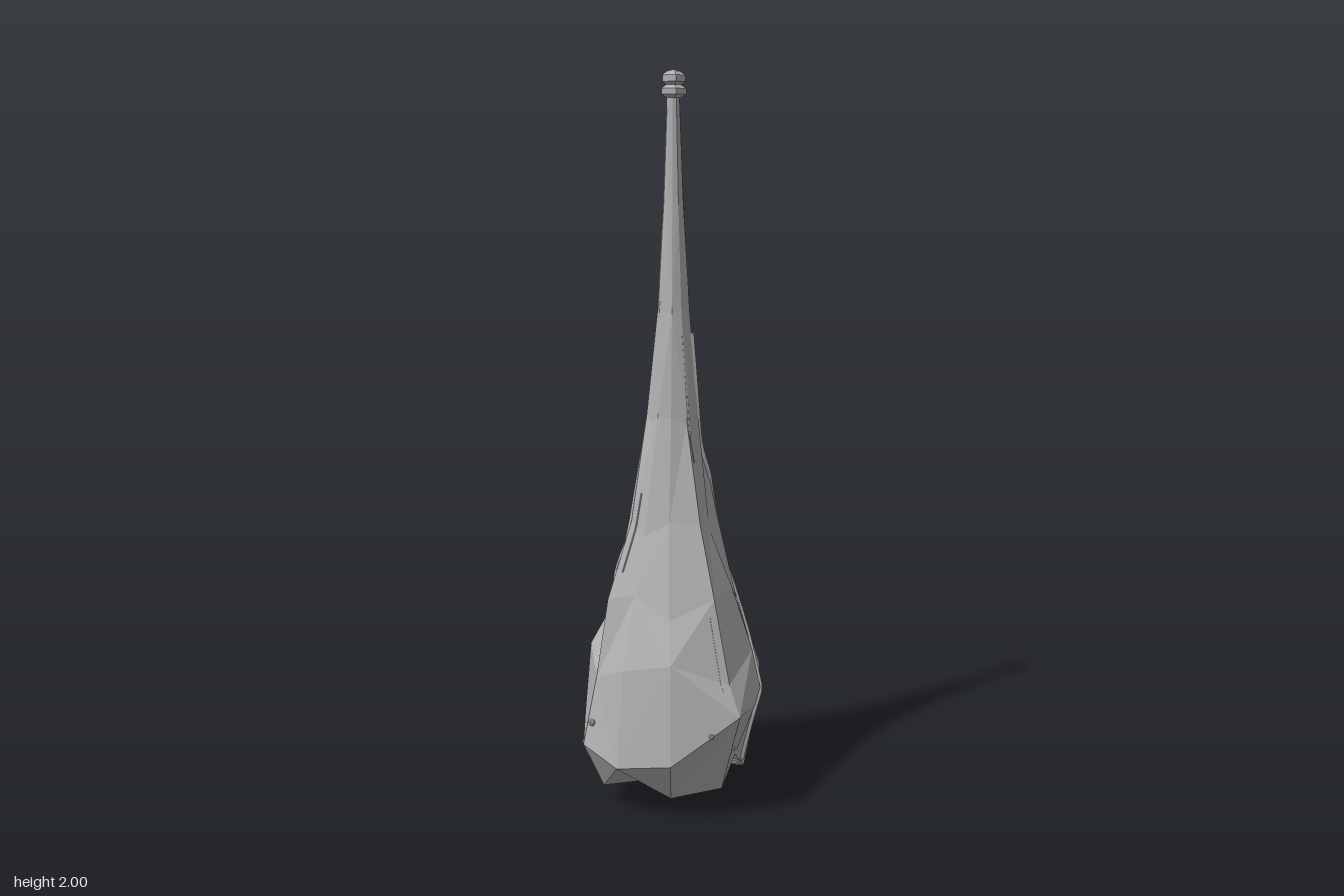
import * as THREE from 'three';

// Plan outline of the belly: x, z, height of the widest point
const OUTLINE = [
  [0.02, -0.31, 0.26], [0.14, -0.275, 0.30], [0.2, -0.12, 0.28], [0.225, -0.02, 0.27],
  [0.26, 0.195, 0.30], [0.1, 0.29, 0.17], [-0.05, 0.31, 0.15], [-0.155, 0.298, 0.20],
  [-0.21, 0.175, 0.25], [-0.25, -0.01, 0.28], [-0.26, -0.205, 0.30], [-0.12, -0.275, 0.28],
];
// Cross-sections: height, centre x, centre z, scale of outline, roundness, jitter
const RINGS = [
  [0.012, -0.05, -0.10, 0.42, 0.4, 0],
  [0.07, -0.015, -0.02, 0.77, 0.15, 0.012],
  [null, 0, 0, 1, 0, 0],
  [0.41, -0.003, 0, 0.89, 0.1, 0.012],
  [0.58, -0.012, 0.002, 0.70, 0.25, 0.012],
  [0.78, -0.018, 0.004, 0.47, 0.4, 0.008],
  [1.07, -0.016, 0.005, 0.265, 0.7, 0.004],
  [1.36, -0.016, 0.005, 0.17, 1, 0.002],
  [1.65, -0.016, 0.005, 0.105, 1, 0],
  [1.95, -0.016, 0.005, 0.062, 1, 0],
];
const N = OUTLINE.length;

// Lumpy faceted body built ring by ring
function bodyGeometry() {
  const pts = [];
  RINGS.forEach(([y, cx, cz, s, round, jit], r) => OUTLINE.forEach(([ox, oz, oy], i) => {
    const a = Math.atan2(oz, ox), len = Math.hypot(ox, oz);
    const wob = jit * Math.sin(i * 2.7 + r * 1.9);
    const rad = s * THREE.MathUtils.lerp(len, 0.27, round) + wob;
    const h = y === null ? oy : y + jit * 3 * Math.sin(i * 4.1 + r * 2.3);
    pts.push(new THREE.Vector3(cx + rad * Math.cos(a), Math.max(h, 0.01), cz + rad * Math.sin(a)));
  }));
  const base = pts.push(new THREE.Vector3(-0.05, 0.012, -0.1)) - 1;
  const top = pts.push(new THREE.Vector3(-0.016, 1.95, 0.005)) - 1;
  const index = [];
  for (let i = 0; i < N; i++) {
    const j = (i + 1) % N, last = (RINGS.length - 1) * N;
    index.push(base, i, j, top, last + j, last + i);
    for (let r = 0; r < RINGS.length - 1; r++) {
      const a0 = r * N + i, a1 = r * N + j, b0 = a0 + N, b1 = a1 + N;
      if ((i + r) % 2) index.push(a0, b0, a1, a1, b0, b1);
      else index.push(a0, b0, b1, a0, b1, a1);
    }
  }
  const g = new THREE.BufferGeometry().setFromPoints(pts);
  g.setIndex(index);
  const flat = g.toNonIndexed();
  flat.computeVertexNormals();
  return flat;
}

export function createModel() {
  const model = new THREE.Group();
  model.name = 'teardropClub';
  const grey = new THREE.MeshStandardMaterial({ color: 0xb0b0b0, flatShading: true });
  grey.name = 'grey';
  const add = (name, geometry, x = 0, y = 0, z = 0) => {
    const m = new THREE.Mesh(geometry, grey);
    m.name = name;
    m.position.set(x, y, z);
    model.add(m);
    return m;
  };

  const body = add('body', bodyGeometry());
  body.updateMatrixWorld();

  // Point of the body surface at a height, in the direction of (x, z) from the axis
  const ray = new THREE.Raycaster();
  const onSurface = (x, y, z) => {
    const dir = new THREE.Vector3(x + 0.016, 0, z - 0.005).normalize();
    const from = new THREE.Vector3(-0.016, y, 0.005).addScaledVector(dir, 1);
    ray.set(from, dir.clone().negate());
    const hit = ray.intersectObject(body)[0];
    return hit ? hit.point : new THREE.Vector3(x, y, z);
  };
  // Thin raised line that follows the surface
  const ridge = (name, points, radius, steps) => {
    const guide = new THREE.CatmullRomCurve3(points.map(p => new THREE.Vector3(...p)));
    const path = guide.getPoints(steps).map(p => onSurface(p.x, p.y, p.z));
    add(name, new THREE.TubeGeometry(new THREE.CatmullRomCurve3(path), steps * 2, radius, 4));
  };

  // Seams down both sides
  ridge('leftSeam', [[0.02, 1.3, 0], [0.05, 1.05, -0.012], [0.085, 0.8, -0.08], [0.12, 0.6, -0.13],
    [0.15, 0.45, -0.14], [0.2, 0.25, -0.12], [0.18, 0.1, -0.1], [0.14, 0.05, -0.085]], 0.008, 36);
  ridge('rightSeam', [[-0.06, 1.3, 0], [-0.09, 1.05, 0], [-0.12, 0.85, -0.01], [-0.155, 0.7, -0.01],
    [-0.2, 0.5, 0.03], [-0.235, 0.28, 0.08], [-0.2, 0.12, 0.06], [-0.16, 0.05, 0]], 0.008, 36);

  // Fine cracks
  [[[-0.06, 0.87, 0.12], [-0.08, 0.66, 0.16]], [[-0.03, 1.9, 0.02], [-0.04, 1.36, 0.03]],
    [[0.03, 1.3, 0.04], [0.05, 0.95, 0.04]], [[-0.06, 0.95, -0.1], [-0.1, 0.7, -0.12]],
    [[0.12, 0.55, 0.12], [0.2, 0.36, 0.18]]]
    .forEach(p => ridge('crack', p, 0.002, 10));

  // Small grit stuck to the belly
  [[0.2, 0.19, 0.13], [0.18, 0.2, -0.15], [-0.15, 0.2, 0.25], [-0.13, 0.26, 0.27], [0.2, 0.25, 0.24],
    [0.07, 0.26, -0.285], [-0.13, 0.38, -0.25], [-0.17, 0.33, -0.22], [-0.23, 0.25, -0.1]]
    .forEach((p, i) => {
      const q = onSurface(...p);
      add('grit', new THREE.IcosahedronGeometry(0.008 + 0.003 * (i % 2), 0), q.x, q.y, q.z);
    });

  // Flat plug underneath
  add('basePlug', new THREE.CylinderGeometry(0.06, 0.06, 0.012, 8), -0.05, 0.006, -0.1);

  // Five-sided knob with two collars and a pointed cap
  const profile = [[0.018, 1.925], [0.035, 1.935], [0.036, 1.95], [0.022, 1.96],
    [0.033, 1.968], [0.033, 1.985], [0.02, 1.995], [0, 2]];
  add('knob', new THREE.LatheGeometry(profile.map(p => new THREE.Vector2(...p)), 5, Math.PI),
    -0.016, 0, 0.005);
  return model;
}
